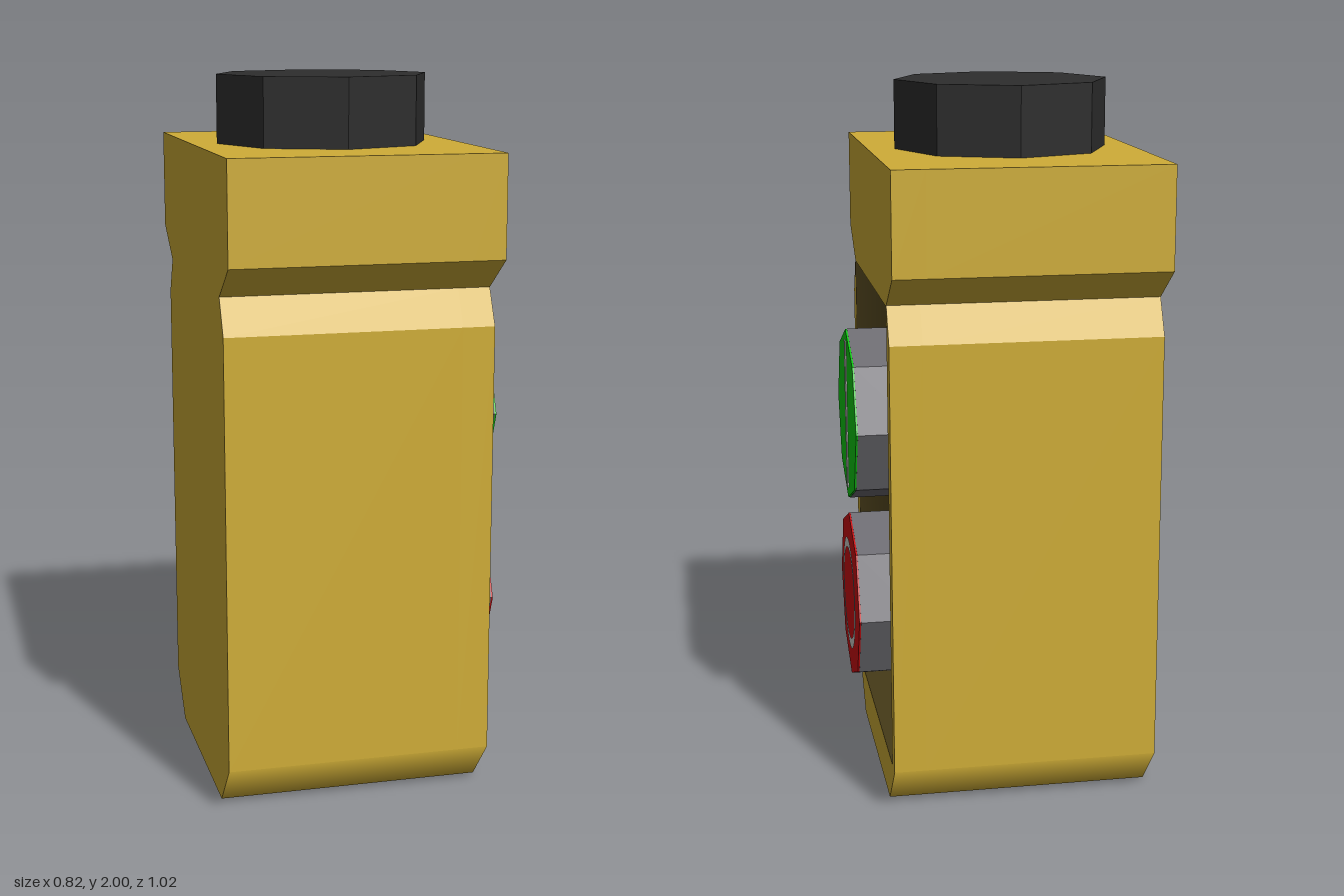
import * as THREE from 'three';
import { toCreasedNormals } from 'three/addons/utils/BufferGeometryUtils.js';

const material = (name, color, extra = {}) => {
  const m = new THREE.MeshStandardMaterial({ color, ...extra });
  m.name = name;
  return m;
};

export function createModel() {
  const gold = material('gold casing', 0xcfad37);
  const brown = material('dark recess', 0x54471f);
  const black = material('black cap', 0x2d2d2d);
  const grey = material('grey button side', 0x6c6b71);
  const green = material('green', 0x0ccd10);
  const red = material('red', 0xce0c10);
  const white = material('off white', 0xd0d0cc);

  const model = new THREE.Group();
  model.name = 'pushButtonBox';
  const add = (parent, name, geometry, mat, x = 0, y = 0, z = 0) => {
    const mesh = new THREE.Mesh(geometry, mat);
    mesh.name = name;
    mesh.position.set(x, y, z);
    parent.add(mesh);
    return mesh;
  };

  const FACE_X = 0.335, FLOOR_X = 0.245, BACK_X = -0.41;

  // Casing outline, mirrored across the middle: chamfered foot, neck and wide collar
  const half = [[0.31, 0], [0.43, 0.13], [0.43, 1.34], [0.38, 1.44], [0.51, 1.53], [0.51, 1.81]];
  const outline = [...half, ...half.map(([z, y]) => [-z, y]).reverse()];
  // Corners of the recess, counter-clockwise as seen from the button side: [z, y]
  const rim = [[0.378, 0.132], [-0.378, 0.132], [-0.378, 1.437], [0.378, 1.437]];
  const floor = [[0.25, 0.21], [-0.25, 0.21], [-0.22, 1.335], [0.22, 1.335]];
  const toPoints = (list) => list.map(([z, y]) => new THREE.Vector2(z, y));

  const slab = (x0, x1, hole) => {
    const shape = new THREE.Shape(toPoints(outline));
    if (hole) shape.holes.push(new THREE.Path(toPoints(hole)));
    const g = new THREE.ExtrudeGeometry(shape, { depth: x1 - x0, bevelEnabled: false });
    g.rotateY(Math.PI / 2).translate(x0, 0, 0);
    // Soften the foot chamfers into the walls above them
    const p = g.attributes.position, n = g.attributes.normal;
    for (let i = 0; i < p.count; i++) {
      const slanted = n.getY(i) < -0.1 && n.getY(i) > -0.9;
      if (!slanted || p.getY(i) > 0.14) continue;
      const s = Math.sign(n.getZ(i));
      if (p.getY(i) > 0.1) n.setXYZ(i, 0, -0.1, s * 0.995);
      else n.setXYZ(i, 0, -0.9, s * 0.436);
    }
    return g;
  };
  add(model, 'casing', slab(BACK_X, FLOOR_X), gold);
  add(model, 'casingRim', slab(FLOOR_X, FACE_X, rim), gold);

  // Sunken button panel: floor plus four sloping sides
  const corners = [
    ...rim.map(([z, y]) => [FACE_X, y, z]),
    ...floor.map(([z, y]) => [FLOOR_X + 0.002, y, z]),
  ];
  const index = [4, 5, 6, 4, 6, 7];
  for (let k = 0; k < 4; k++) {
    const n = (k + 1) % 4;
    index.push(k, n, n + 4, k, n + 4, k + 4);
  }
  const recess = new THREE.BufferGeometry();
  recess.setAttribute('position', new THREE.Float32BufferAttribute(corners.flat(), 3));
  recess.setIndex(index);
  add(model, 'recess', toCreasedNormals(recess, 0.62), brown);

  // Eight-sided drum with creased sides
  const drum = (radius, length) =>
    toCreasedNormals(new THREE.CylinderGeometry(radius, radius, length, 8), 0.3);

  add(model, 'topCap', drum(0.3, 0.2), black, -0.04, 1.9, 0);

  // Buttons pointing along +x, each with a coloured face plate
  const button = (name, y, faceMaterial) => {
    const group = new THREE.Group();
    group.name = name;
    group.position.y = y;
    model.add(group);
    add(group, name + 'Body', drum(0.25, 0.175).rotateZ(-Math.PI / 2), grey, 0.3145);
    add(group, name + 'Face', drum(0.249, 0.006).rotateZ(-Math.PI / 2), faceMaterial, 0.404);
    return group;
  };
  const start = button('startButton', 1.055, green);
  add(start, 'startBar', new THREE.BoxGeometry(0.004, 0.43, 0.034), white, 0.408);

  const stop = button('stopButton', 0.51, red);
  add(stop, 'stopRing', new THREE.RingGeometry(0.135, 0.165, 40).rotateY(Math.PI / 2), white, 0.41, 0.004);

  return model;
}
